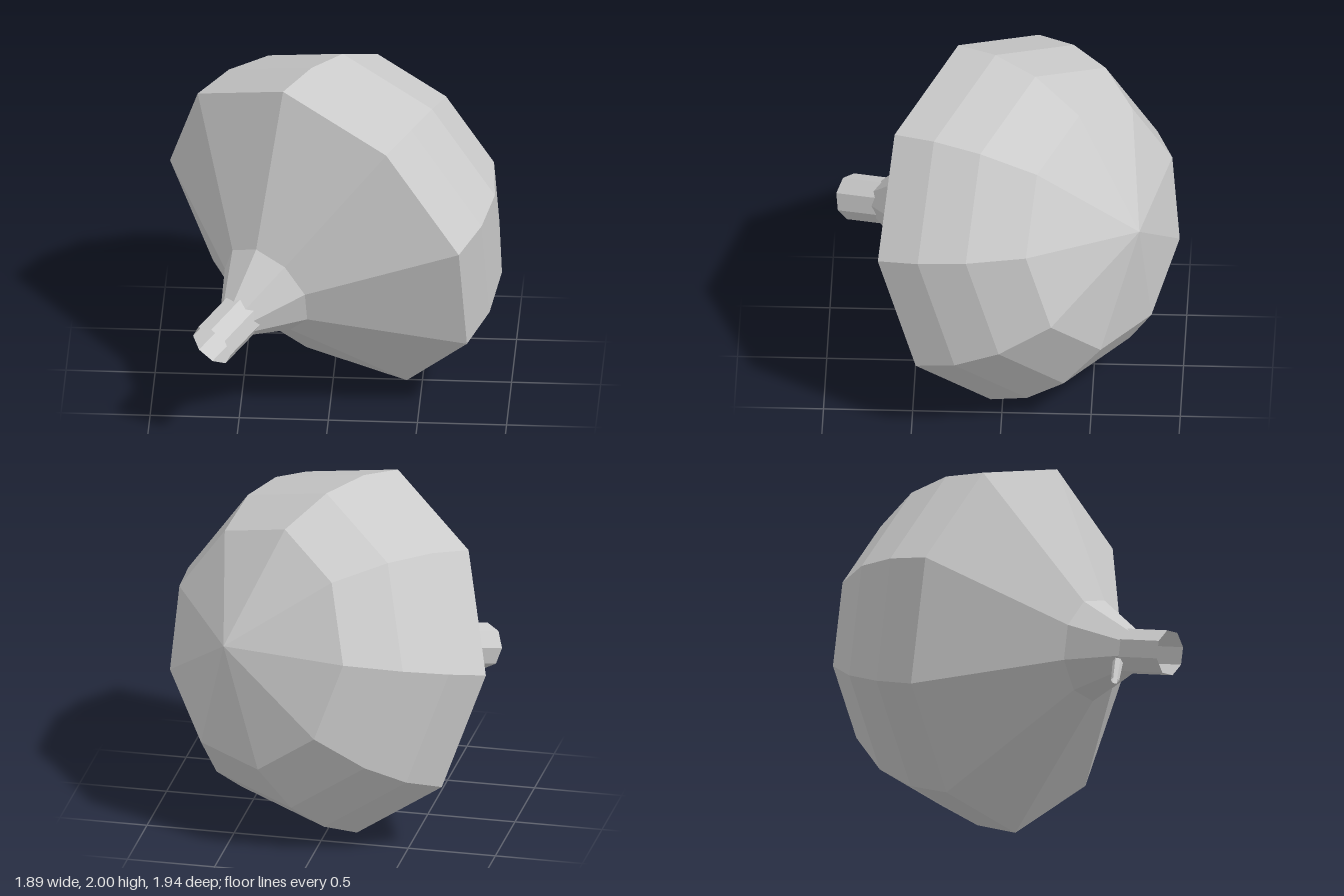
import * as THREE from 'three';

const material = new THREE.MeshStandardMaterial({ color: 0xcccccc, flatShading: true, side: THREE.DoubleSide });

function part(name, geometry) {
  const mesh = new THREE.Mesh(geometry, material);
  mesh.name = name;
  return mesh;
}

// Open tube between two points
function tube(name, from, to, rFrom, rTo, sides, phase = 0) {
  const dir = to.clone().sub(from);
  const geometry = new THREE.CylinderGeometry(rTo, rFrom, dir.length(), sides, 1, true, phase);
  const mesh = part(name, geometry);
  mesh.position.copy(from).addScaledVector(dir, 0.5);
  mesh.quaternion.setFromUnitVectors(new THREE.Vector3(0, 1, 0), dir.normalize());
  return mesh;
}

export function createModel() {
  const model = new THREE.Group();
  model.name = 'bulb';
  const R = 1.046;
  const SIDES = 9;

  // Tilted frame: local y runs from the stem to the top of the dome
  const axis = new THREE.Vector3(0.541, 0.276, -0.794).normalize();
  const z = new THREE.Vector3(0.775, 0.21, 0.596);
  z.addScaledVector(axis, -z.dot(axis)).normalize();
  const x = new THREE.Vector3().crossVectors(axis, z);
  const body = new THREE.Group();
  body.name = 'body';
  body.quaternion.setFromRotationMatrix(new THREE.Matrix4().makeBasis(x, axis, z));
  body.position.set(-0.066, 0.961, 0.06);
  model.add(body);

  // Dome: half sphere with rings at even heights
  const dome = [0, 0.25, 0.5, 0.75, 1].map(
    (h) => new THREE.Vector2(R * Math.sqrt(1 - h * h), R * h));
  body.add(part('dome', new THREE.LatheGeometry(dome, SIDES)));

  // Underside: flared cone narrowing into the neck
  const under = [[0, -0.82], [0.105, -0.82], [0.29, -0.52], [R, 0]].map((p) => new THREE.Vector2(...p));
  body.add(part('neck', new THREE.LatheGeometry(under, SIDES)));

  // Hollow stem
  body.add(tube('stem', new THREE.Vector3(0, -1.045, 0), new THREE.Vector3(0, -0.68, 0),
    0.13, 0.13, 8, Math.PI / 8));

  // Small peg under the neck
  model.add(tube('peg', new THREE.Vector3(-0.622, 0.5, 0.583), new THREE.Vector3(-0.5, 0.72, 0.61),
    0.023, 0.032, 6));
  return model;
}
